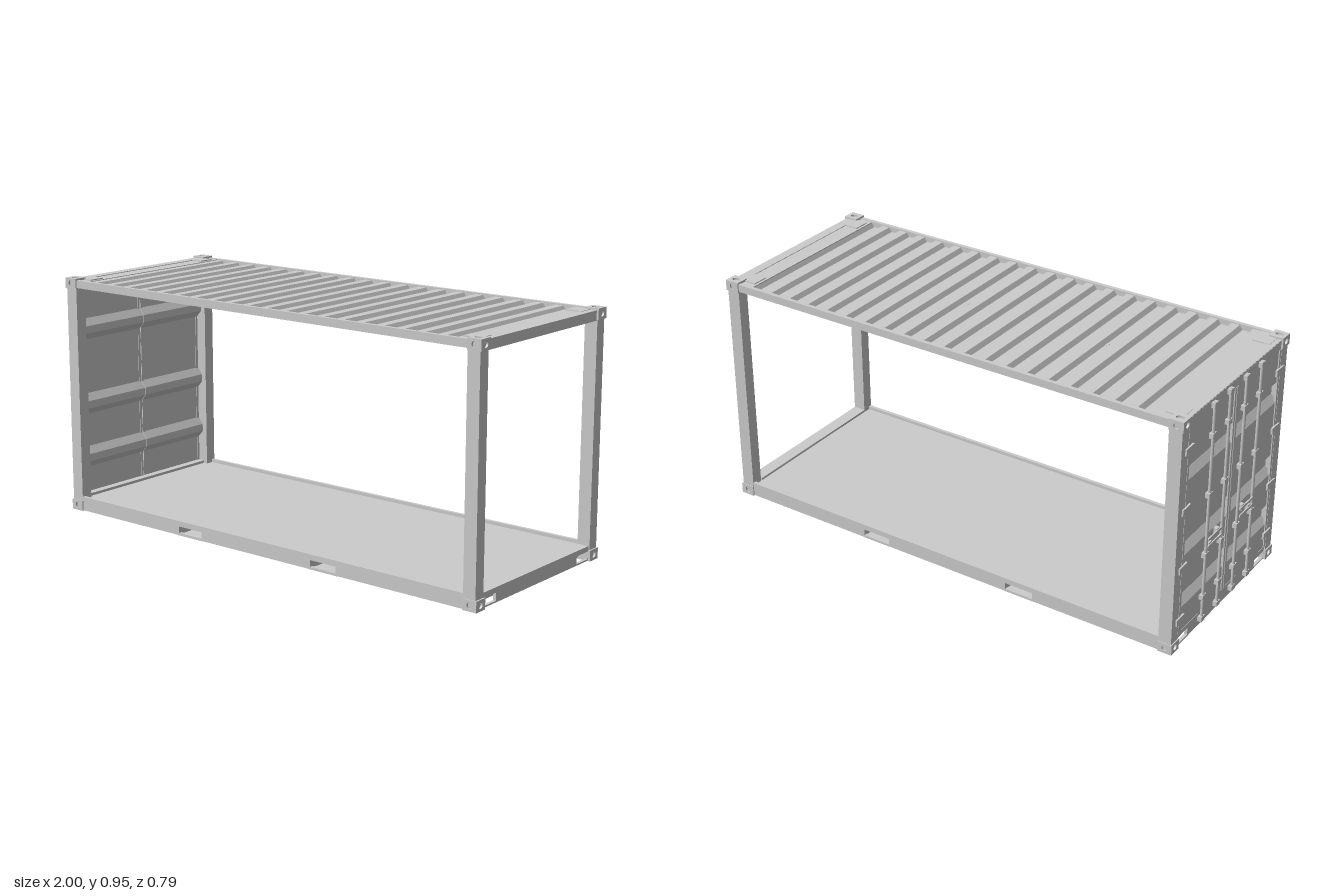
import * as THREE from 'three';

const grey = new THREE.MeshStandardMaterial({ color: 0xcccccc, side: THREE.DoubleSide });
const lampMat = new THREE.MeshStandardMaterial({ color: 0xe8e4cc });

function add(parent, name, geo, x = 0, y = 0, z = 0, mat = grey) {
  const m = new THREE.Mesh(geo, mat);
  m.name = name;
  m.position.set(x, y, z);
  parent.add(m);
  return m;
}

// Box given by its two extremes on each axis
function span(parent, name, x0, x1, y0, y1, z0, z1) {
  return add(parent, name, new THREE.BoxGeometry(x1 - x0, y1 - y0, z1 - z0),
    (x0 + x1) / 2, (y0 + y1) / 2, (z0 + z1) / 2);
}

// Centred plate in XY with rectangular or oval holes [cx, cy, w, h, oval]
function plate(w, h, t, holes) {
  const s = new THREE.Shape();
  s.moveTo(-w / 2, -h / 2).lineTo(w / 2, -h / 2).lineTo(w / 2, h / 2).lineTo(-w / 2, h / 2).closePath();
  for (const [cx, cy, hw, hh, oval] of holes) {
    const p = new THREE.Path();
    if (oval) p.absellipse(cx, cy, hw / 2, hh / 2, 0, Math.PI * 2, true);
    else p.moveTo(cx - hw / 2, cy - hh / 2).lineTo(cx - hw / 2, cy + hh / 2)
      .lineTo(cx + hw / 2, cy + hh / 2).lineTo(cx + hw / 2, cy - hh / 2).closePath();
    s.holes.push(p);
  }
  return new THREE.ExtrudeGeometry(s, { depth: t, bevelEnabled: false, curveSegments: 8 }).translate(0, 0, -t / 2);
}

// Folded sheet: open profile thickened by (dx, dy), run along z
function sheet(pts, dx, dy, depth) {
  const back = pts.map(([x, y]) => [x + dx, y + dy]).reverse();
  const s = new THREE.Shape([...pts, ...back].map(([x, y]) => new THREE.Vector2(x, y)));
  return new THREE.ExtrudeGeometry(s, { depth, bevelEnabled: false }).translate(0, 0, -depth / 2);
}

// Hollow-looking corner block with holes on its three outer faces
function cornerCasting(sx, top, sz) {
  const g = new THREE.Group();
  g.name = 'cornerCasting';
  const w = 0.058, h = 0.042, d = 0.054, t = 0.008;
  add(g, 'castingCore', new THREE.BoxGeometry(w - t, h - t, d - t), -sx * t / 2, -top * t / 2, -sz * t / 2);
  add(g, 'castingSideFace', plate(w, h, t, [[0, 0, 0.022, 0.024, true]]), 0, 0, sz * (d - t) / 2);
  const end = add(g, 'castingEndFace', plate(d, h, t, [[0, 0, 0.024, 0.024, true]]), sx * (w - t) / 2, 0, 0);
  end.rotation.y = Math.PI / 2;
  const cap = add(g, 'castingCap', plate(w, d, t, [[0, 0, 0.032, 0.022, true]]), 0, top * (h - t) / 2, 0);
  cap.rotation.x = Math.PI / 2;
  g.position.set(sx > 0 ? 0.971 : -0.962, top > 0 ? 0.929 : 0.021, sz * 0.368);
  return g;
}

export function createModel() {
  const model = new THREE.Group();
  model.name = 'shippingContainer';

  // Corner posts and castings
  for (const sx of [1, -1]) for (const sz of [1, -1]) {
    for (const top of [1, -1]) model.add(cornerCasting(sx, top, sz));
    add(model, 'cornerPost', new THREE.BoxGeometry(0.052, 0.87, 0.047), sx > 0 ? 0.968 : -0.96, 0.475, sz * 0.368);
  }

  // Long rails, the lower ones pierced by lifting pockets
  const pockets = [-0.34, 0.32];
  for (const s of [1, -1]) {
    add(model, 'topRail', new THREE.BoxGeometry(1.88, 0.03, 0.016), 0.003, 0.928, s * 0.382);
    add(model, 'bottomRail', plate(1.88, 0.056, 0.014, pockets.map(x => [x - 0.003, -0.007, 0.12, 0.026])),
      0.003, 0.031, s * 0.383);
    add(model, 'bottomRailFlange', new THREE.BoxGeometry(1.88, 0.004, 0.03), 0.003, 0.004, s * 0.375);
  }

  // Floor and the lifting tunnels beneath it
  span(model, 'floor', -0.97, 0.97, 0.04, 0.046, -0.378, 0.378);
  for (const x of pockets) {
    for (const s of [1, -1])
      add(model, 'tunnelWall', new THREE.BoxGeometry(0.005, 0.039, 0.755), x + s * 0.063, 0.0215, 0);
    add(model, 'tunnelBase', new THREE.BoxGeometry(0.131, 0.004, 0.78), x, 0.003, 0);
  }

  // End sills with pocket openings, and top headers
  for (const [s, face, inner] of [[1, 0.985, 0.945], [-1, -0.976, -0.955]]) {
    const sill = add(model, 'endSill', plate(0.684, 0.056, 0.012,
      [[-0.301, -0.007, 0.078, 0.03], [0.301, -0.007, 0.078, 0.03]]), face, 0.03, 0);
    sill.rotation.y = Math.PI / 2;
    add(model, 'endSillBack', new THREE.BoxGeometry(0.006, 0.048, 0.68), inner, 0.03, 0);
    add(model, 'endSillTop', new THREE.BoxGeometry(Math.abs(face - inner) + 0.012, 0.006, 0.684),
      (face + inner) / 2, 0.055, 0);
    add(model, 'topHeader', new THREE.BoxGeometry(0.04, 0.038, 0.684), s > 0 ? 0.972 : -0.964, 0.924, 0);
    add(model, 'roofEndPlate', new THREE.BoxGeometry(0.1, 0.005, 0.752), s * 0.935, 0.938, 0);
    for (const sz of [1, -1])
      add(model, 'cornerRoofPlate', new THREE.BoxGeometry(0.07, 0.004, 0.066), s * 0.93, 0.9425, sz * 0.317);
  }

  // Corrugated roof
  const roof = [];
  for (let i = 0; i < 20; i++) {
    const x = -0.888 + i * 0.0887;
    roof.push([x, 0.938], [x + 0.034, 0.938], [x + 0.046, 0.921], [x + 0.0767, 0.921]);
  }
  roof.push([0.886, 0.938]);
  add(model, 'corrugatedRoof', sheet(roof, 0, -0.003, 0.752));

  // Ceiling lamps with a tapered section
  const lamp = new THREE.Shape([[-0.02, 0.012], [-0.018, 0.003], [-0.012, 0], [0.012, 0], [0.018, 0.003], [0.02, 0.012]]
    .map(p => new THREE.Vector2(...p)));
  for (const x of [-0.61, 0, 0.62]) {
    const geo = new THREE.ExtrudeGeometry(lamp, { depth: 0.4, bevelEnabled: false }).translate(0, 0, -0.2);
    add(model, 'ceilingLamp', geo, x, 0.893, 0, lampMat).rotation.y = Math.PI / 2;
    for (const s of [1, -1])
      add(model, 'lampMount', new THREE.BoxGeometry(0.015, 0.018, 0.015), x + s * 0.15, 0.913, 0);
  }

  // Double doors with three pressed horizontal grooves
  const doorX = -0.978, pressed = -0.955;
  const profile = [[doorX, 0.059]];
  for (const y of [0.205, 0.425, 0.732])
    profile.push([doorX, y - 0.042], [pressed, y - 0.015], [pressed, y + 0.015], [doorX, y + 0.043]);
  profile.push([doorX, 0.906]);
  for (const s of [1, -1]) {
    const door = new THREE.Group();
    door.name = 'door';
    model.add(door);
    add(door, 'doorPanel', sheet(profile, -0.004, 0, 0.342), 0, 0, s * 0.1725);
    for (const z of [0.008, 0.336])
      add(door, 'doorEdge', new THREE.BoxGeometry(0.01, 0.847, 0.012), -0.981, 0.4825, s * z);
    for (const y of [0.12, 0.34, 0.58, 0.82])
      add(door, 'hinge', new THREE.BoxGeometry(0.008, 0.026, 0.055), -0.988, y, s * 0.338);

    // Locking rods, their brackets and handles
    for (const z of [0.06, 0.176]) {
      add(door, 'lockRod', new THREE.CylinderGeometry(0.006, 0.006, 0.91, 10), -0.992, 0.477, s * z);
      for (const y of [0.035, 0.13, 0.31, 0.56, 0.8, 0.92])
        add(door, 'rodBracket', new THREE.BoxGeometry(0.017, 0.02, 0.026), -0.9905, y, s * z);
      const y = z < 0.1 ? 0.34 : 0.37;
      add(door, 'lockHandle', new THREE.BoxGeometry(0.005, 0.01, 0.1), -0.9965, y, s * 0.122);
      add(door, 'handleCatch', new THREE.BoxGeometry(0.014, 0.022, 0.02), -0.989, y, s * (z < 0.1 ? 0.15 : 0.095));
    }
  }
  return model;
}
